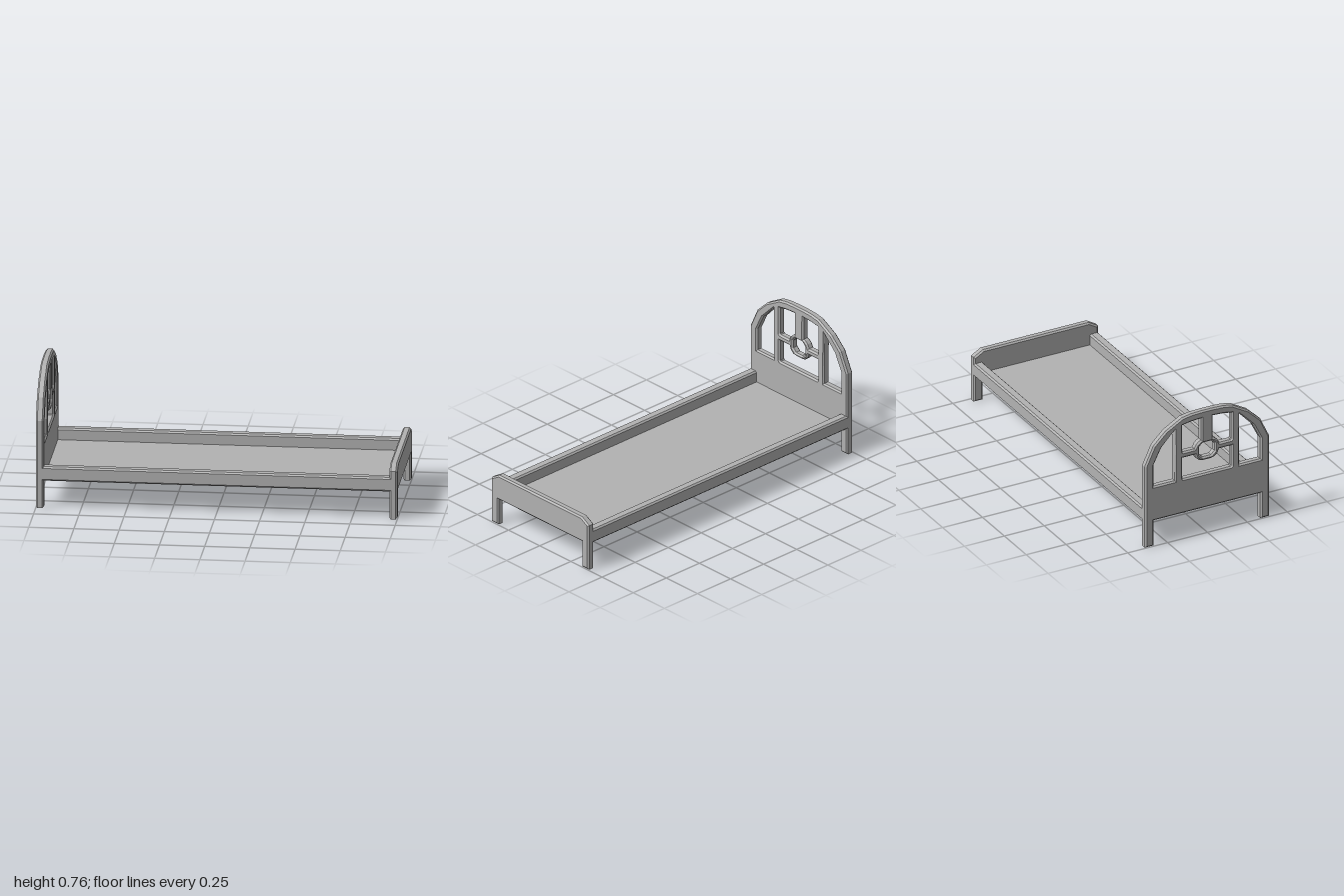
import * as THREE from 'three';

const BEVEL = 0.009;
const THICK = 0.045;

const toPoints = (list) => list.map(([a, b]) => new THREE.Vector2(a, b));
const mirrored = (list) => list.map(([a, b]) => [-a, b]).reverse();

// Extrudes an outline along x, with chamfered edges kept inside the outline
function extrudeAlongX(outline, holes, length, bevel, startX) {
  const shape = new THREE.Shape(toPoints(outline));
  for (const h of holes) shape.holes.push(new THREE.Path(toPoints(h)));
  const geo = new THREE.ExtrudeGeometry(shape, {
    depth: length - 2 * bevel, bevelEnabled: bevel > 0, bevelSegments: 1,
    bevelSize: bevel, bevelThickness: bevel, bevelOffset: -bevel,
  });
  geo.rotateY(Math.PI / 2);
  geo.translate(startX + bevel, 0, 0);
  return geo;
}

// Board outline: two legs, an apron, and a top edge given for one half
function boardOutline(halfTop) {
  const legs = [[-0.39, 0], [-0.335, 0], [-0.335, 0.157], [0.335, 0.157], [0.335, 0], [0.39, 0]];
  return [...legs, ...halfTop, ...mirrored(halfTop)];
}

export function createModel() {
  const bed = new THREE.Group();
  bed.name = 'bed';
  const grey = new THREE.MeshStandardMaterial({ color: 0xb2b2b2, flatShading: true });
  grey.name = 'grey';
  const add = (name, geo) => {
    const mesh = new THREE.Mesh(geo, grey);
    mesh.name = name;
    bed.add(mesh);
    return mesh;
  };

  // Arched headboard with openings around a small ring
  const archTop = [[0.39, 0.503], [0.335, 0.62], [0.26, 0.692], [0.157, 0.75], [0.1, 0.76], [0.03, 0.763]];
  const sideHole = [[0.202, 0.37], [0.335, 0.37], [0.335, 0.5], [0.287, 0.595], [0.202, 0.686]];
  const upperHole = [
    [0.078, 0.537], [0.149, 0.537], [0.154, 0.542], [0.154, 0.703], [0.1, 0.712], [0.036, 0.716],
    [0.036, 0.58], [0.049, 0.575], [0.066, 0.56],
  ];
  const halfLower = [[0.149, 0.37], [0.154, 0.375], [0.154, 0.5], [0.076, 0.5], [0.068, 0.477], [0.046, 0.457], [0.022, 0.453]];
  const lowerHole = [...halfLower, ...mirrored(halfLower)];
  const halfRing = [[0.026, 0.474], [0.048, 0.495], [0.048, 0.541], [0.026, 0.562]];
  const ringHole = [...halfRing, ...mirrored(halfRing)];
  const holes = [sideHole, mirrored(sideHole), upperHole, mirrored(upperHole), lowerHole, ringHole];
  add('headboard', extrudeAlongX(boardOutline(archTop), holes, THICK, BEVEL, -1));

  // Low footboard with cut corners
  const footTop = [[0.39, 0.275], [0.332, 0.309]];
  add('footboard', extrudeAlongX(boardOutline(footTop), [], THICK, BEVEL, 1 - THICK));

  // Side rails with a chamfered section
  const c = 0.009;
  for (const side of [1, -1]) {
    const [z0, z1, y0, y1] = [0.335, 0.39, 0.157, 0.238];
    const section = [
      [z0 + c, y0], [z1 - c, y0], [z1, y0 + c], [z1, y1 - c],
      [z1 - c, y1], [z0 + c, y1], [z0, y1 - c], [z0, y0 + c],
    ];
    const outline = side > 0 ? section : mirrored(section);
    add(side > 0 ? 'backRail' : 'frontRail', extrudeAlongX(outline, [], 1.93, 0, -0.965));
  }

  // Thin floor panel between the rails
  const floor = add('bedFloor', new THREE.BoxGeometry(1.93, 0.012, 0.7));
  floor.position.y = 0.166;

  return bed;
}
